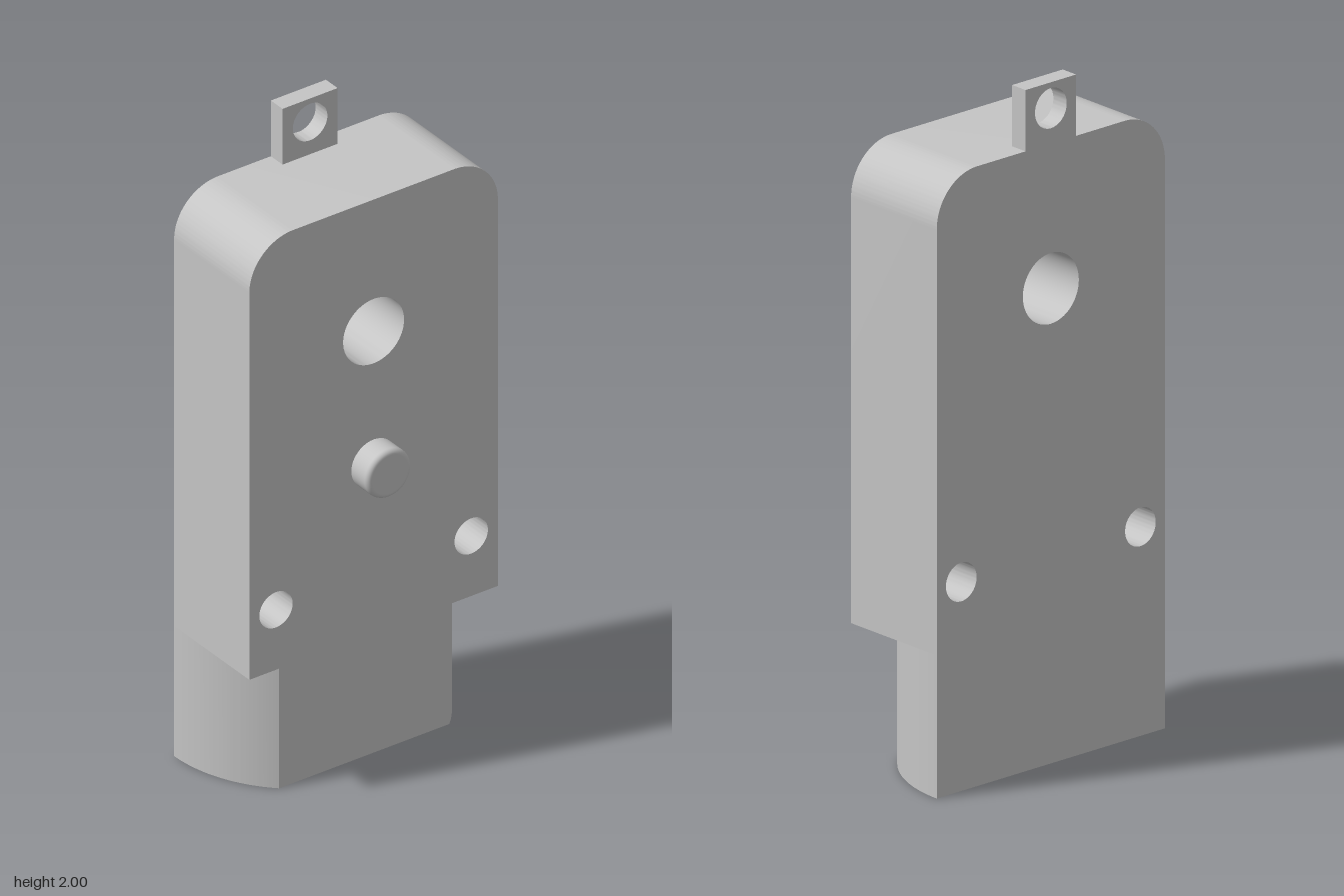
import * as THREE from 'three';
import { toCreasedNormals } from 'three/addons/utils/BufferGeometryUtils.js';

const BACK = -0.215, FRONT = 0.138, HALF = 0.424;

function addHole(shape, x, y, r) {
  const hole = new THREE.Path();
  hole.absarc(x, y, r, 0, Math.PI * 2, true);
  shape.holes.push(hole);
}

function extrude(shape, depth) {
  const g = new THREE.ExtrudeGeometry(shape, { depth, bevelEnabled: false, curveSegments: 32 });
  return toCreasedNormals(g, 0.4);
}

export function createModel() {
  const group = new THREE.Group();
  const grey = new THREE.MeshStandardMaterial({ color: 0xc5c5c5 });
  grey.name = 'grey';
  const add = (name, geometry) => {
    const mesh = new THREE.Mesh(geometry, grey);
    mesh.name = name;
    group.add(mesh);
    return mesh;
  };

  // Housing: rounded top corners and three through holes
  const bottom = 0.42, top = 1.82, r = 0.15;
  const body = new THREE.Shape();
  body.moveTo(-HALF, bottom);
  body.lineTo(HALF, bottom);
  body.lineTo(HALF, top - r);
  body.absarc(HALF - r, top - r, r, 0, Math.PI / 2);
  body.lineTo(-HALF + r, top);
  body.absarc(-HALF + r, top - r, r, Math.PI / 2, Math.PI);
  body.closePath();
  addHole(body, 0, 1.395, 0.104);
  for (const side of [-1, 1]) addHole(body, side * 0.333, 0.614, 0.057);
  add('housing', extrude(body, FRONT - BACK)).position.z = BACK;

  // Lower plug: half disc cut flat at the front; drawn as (x, -z) and stood up
  const a = Math.asin((0.094 - BACK) / HALF);
  const plug = new THREE.Shape();
  plug.absarc(0, -BACK, HALF, Math.PI, Math.PI + a);
  plug.absarc(0, -BACK, HALF, -a, 0);
  plug.closePath();
  add('lowerPlug', extrude(plug, bottom).rotateX(-Math.PI / 2));

  // Hanging lug with eyelet
  const lug = new THREE.Shape();
  lug.moveTo(-0.094, top);
  lug.lineTo(0.094, top);
  lug.lineTo(0.094, 2);
  lug.lineTo(-0.094, 2);
  lug.closePath();
  addHole(lug, 0, 1.924, 0.059);
  add('hangingLug', extrude(lug, 0.055)).position.z = BACK;

  // Push button with a filleted rim
  const br = 0.076, h = 0.077, f = 0.015;
  const profile = [new THREE.Vector2(br, 0)];
  for (let i = 0; i <= 6; i++) {
    const t = (i / 6) * Math.PI / 2;
    profile.push(new THREE.Vector2(br - f + f * Math.cos(t), h - f + f * Math.sin(t)));
  }
  profile.push(new THREE.Vector2(0, h));
  const button = add('pushButton', new THREE.LatheGeometry(profile, 48).rotateX(Math.PI / 2));
  button.position.set(0, 0.969, FRONT);

  return group;
}
